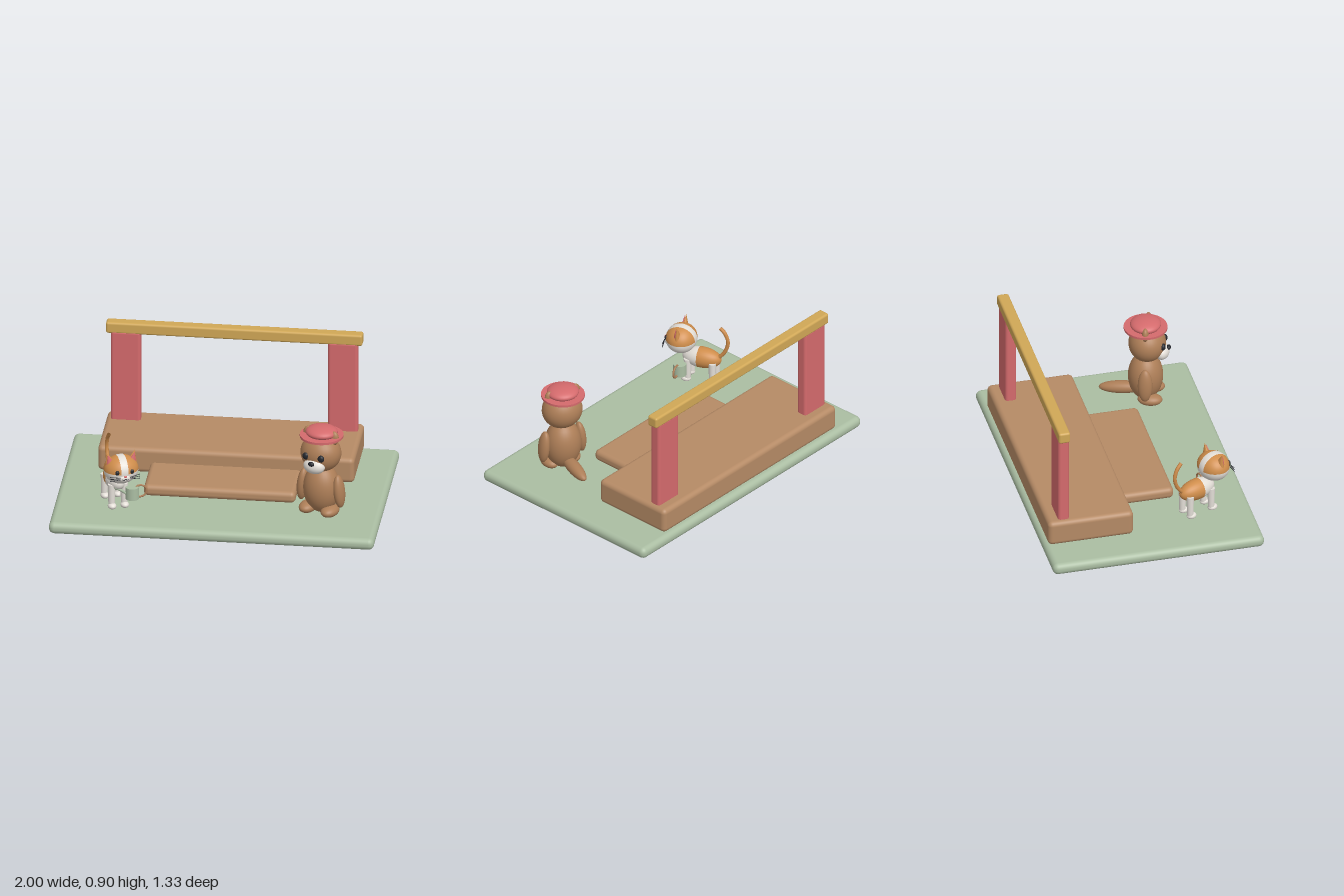
import * as THREE from 'three';
import { RoundedBoxGeometry } from 'three/addons/geometries/RoundedBoxGeometry.js';

const mat = (name, color, side = THREE.FrontSide) => {
  const m = new THREE.MeshStandardMaterial({ color, side });
  m.name = name;
  return m;
};

export function createModel() {
  const sage = mat('sage green', 0xaabda2);
  const wood = mat('wood brown', 0xb58a65);
  const fur = mat('brown fur', 0xad7e57);
  const red = mat('coral red', 0xd46a6c);
  const gold = mat('gold', 0xd0a756);
  const orange = mat('orange fur', 0xcf8d4b, THREE.DoubleSide);
  const white = mat('off white', 0xe4dfd8, THREE.DoubleSide);
  const black = mat('black', 0x24262c);

  const add = (parent, name, geo, material, x = 0, y = 0, z = 0) => {
    const m = new THREE.Mesh(geo, material);
    m.name = name;
    m.position.set(x, y, z);
    parent.add(m);
    return m;
  };
  const ball = (parent, name, material, p, r) => {
    const m = add(parent, name, new THREE.SphereGeometry(1, 32, 22), material, ...p);
    m.scale.set(...r);
    return m;
  };
  // rounded box from its minimum and maximum corners
  const block = (parent, name, material, a, b, r) =>
    add(parent, name, new RoundedBoxGeometry(b[0] - a[0], b[1] - a[1], b[2] - a[2], 4, r), material,
      (a[0] + b[0]) / 2, (a[1] + b[1]) / 2, (a[2] + b[2]) / 2);
  const tube = (parent, name, material, points, r) =>
    add(parent, name, new THREE.TubeGeometry(
      new THREE.CatmullRomCurve3(points.map(p => new THREE.Vector3(...p))), 24, r, 8), material);

  const model = new THREE.Group();
  model.name = 'stageScene';

  // Ground, stage, step and gate
  block(model, 'ground', sage, [-1, 0, -0.665], [1, 0.075, 0.665], 0.035);
  block(model, 'stage', wood, [-0.79, 0.083, -0.645], [0.787, 0.247, -0.108], 0.03);
  block(model, 'step', wood, [-0.468, 0.083, -0.14], [0.465, 0.157, 0.225], 0.03);
  for (const s of [-1, 1])
    block(model, 'post', red, [s * 0.668 - 0.092, 0.23, -0.577], [s * 0.668 + 0.092, 0.84, -0.507], 0.018);
  block(model, 'beam', gold, [-0.79, 0.823, -0.58], [0.788, 0.896, -0.507], 0.014);

  // Brown animal with a hat
  const bear = new THREE.Group();
  bear.name = 'hatAnimal';
  bear.position.set(0.64, 0, 0.32);
  bear.rotation.y = -0.35;
  model.add(bear);
  ball(bear, 'body', fur, [0, 0.255, 0], [0.115, 0.16, 0.108]);
  ball(bear, 'head', fur, [0, 0.495, 0.01], [0.128, 0.118, 0.115]);
  ball(bear, 'muzzle', white, [0, 0.44, 0.1], [0.07, 0.05, 0.048]);
  ball(bear, 'nose', black, [0, 0.468, 0.142], [0.02, 0.015, 0.014]);
  ball(bear, 'tail', fur, [0, 0.157, -0.145], [0.042, 0.039, 0.143]).rotation.x = -0.06;
  for (const s of [-1, 1]) {
    ball(bear, 'eye', black, [s * 0.052, 0.502, 0.113], [0.021, 0.023, 0.016]);
    ball(bear, 'ear', fur, [s * 0.09, 0.607, 0.008], [0.03, 0.045, 0.022]);
    ball(bear, 'arm', fur, [s * 0.125, 0.257, 0.01], [0.034, 0.107, 0.045]).rotation.z = s * 0.1;
    ball(bear, 'foot', fur, [s * 0.075, 0.128, 0.035], [0.052, 0.036, 0.076]);
  }
  add(bear, 'hatBrim', new THREE.CylinderGeometry(0.134, 0.134, 0.014, 40), red, 0, 0.607, 0);
  ball(bear, 'hatCrown', red, [0, 0.63, 0], [0.1, 0.038, 0.095]);

  // Cat
  const cat = new THREE.Group();
  cat.name = 'cat';
  cat.position.set(-0.635, 0, 0.325);
  cat.rotation.y = 0.4;
  model.add(cat);
  // body split across its length: orange rear, white chest
  for (const [name, material, start, len] of [
    ['chest', white, 0, 1.42], ['hindBody', orange, 1.42, Math.PI - 1.42]]) {
    const g = new THREE.SphereGeometry(1, 32, 14, 0, Math.PI * 2, start, len).rotateX(Math.PI / 2);
    add(cat, name, g, material, 0, 0.25, 0).scale.set(0.064, 0.066, 0.125);
  }
  for (const sx of [-1, 1]) for (const sz of [-1, 1]) {
    add(cat, 'leg', new THREE.CylinderGeometry(0.023, 0.02, 0.14, 16), white, sx * 0.04, 0.175, sz * 0.08);
    ball(cat, 'paw', white, [sx * 0.04, 0.104, sz * 0.08 + 0.01], [0.026, 0.02, 0.032]);
  }
  tube(cat, 'catTail', orange,
    [[0, 0.27, -0.11], [0, 0.32, -0.148], [0, 0.39, -0.168], [0, 0.45, -0.15], [0, 0.485, -0.12]], 0.012);

  const head = new THREE.Group();
  head.name = 'catHead';
  head.position.set(0.005, 0.367, 0.13);
  cat.add(head);
  // head patches: orange above on each side, white blaze and lower face
  const PI = Math.PI, edge = 1.36;
  const patch = (name, material, phi, phiLen, theta, thetaLen) =>
    add(head, name, new THREE.SphereGeometry(1, 28, 14, phi, phiLen, theta, thetaLen).rotateZ(PI / 2), material)
      .scale.set(0.108, 0.09, 0.096);
  patch('blaze', white, 0, PI * 2, edge, PI - 2 * edge);
  for (const t of [0, PI - edge]) {
    patch('facePatch', orange, PI / 2, PI, t, edge);
    patch('lowerFace', white, -PI / 2, PI, t, edge);
  }
  ball(head, 'catMuzzle', white, [0, -0.028, 0.078], [0.042, 0.026, 0.026]);
  ball(head, 'catNose', red, [0, -0.01, 0.102], [0.01, 0.007, 0.007]);
  for (const s of [-1, 1]) {
    ball(head, 'catEye', black, [s * 0.046, 0.012, 0.084], [0.013, 0.015, 0.009]);
    const ear = new THREE.Group();
    ear.name = 'catEar';
    ear.position.set(s * 0.078, 0.078, 0);
    ear.rotation.z = -s * 0.25;
    head.add(ear);
    add(ear, 'outerEar', new THREE.ConeGeometry(0.034, 0.08, 20), orange).scale.z = 0.6;
    add(ear, 'innerEar', new THREE.ConeGeometry(0.027, 0.066, 20), red, 0, -0.004, 0.009).scale.z = 0.6;
    tube(head, 'mouth', black, [[0, -0.022, 0.105], [s * 0.01, -0.032, 0.104], [s * 0.02, -0.027, 0.1]], 0.002);
    for (const k of [-1, 0, 1])
      tube(head, 'whisker', black,
        [[s * 0.03, -0.022 + k * 0.006, 0.1], [s * 0.095, -0.02 + k * 0.014, 0.092]], 0.002);
  }

  // Watering can
  const can = new THREE.Group();
  can.name = 'wateringCan';
  can.position.set(-0.515, 0.19, 0.4);
  can.rotation.y = 0.27;
  model.add(can);
  add(can, 'canBody', new THREE.CylinderGeometry(0.042, 0.042, 0.078, 28), sage);
  tube(can, 'spout', sage, [[-0.035, -0.005, 0], [-0.07, 0.02, 0], [-0.11, 0.042, 0]], 0.009);
  add(can, 'canHandle', new THREE.TorusGeometry(0.038, 0.006, 10, 32), fur, 0.05, 0.008, 0);

  return model;
}
